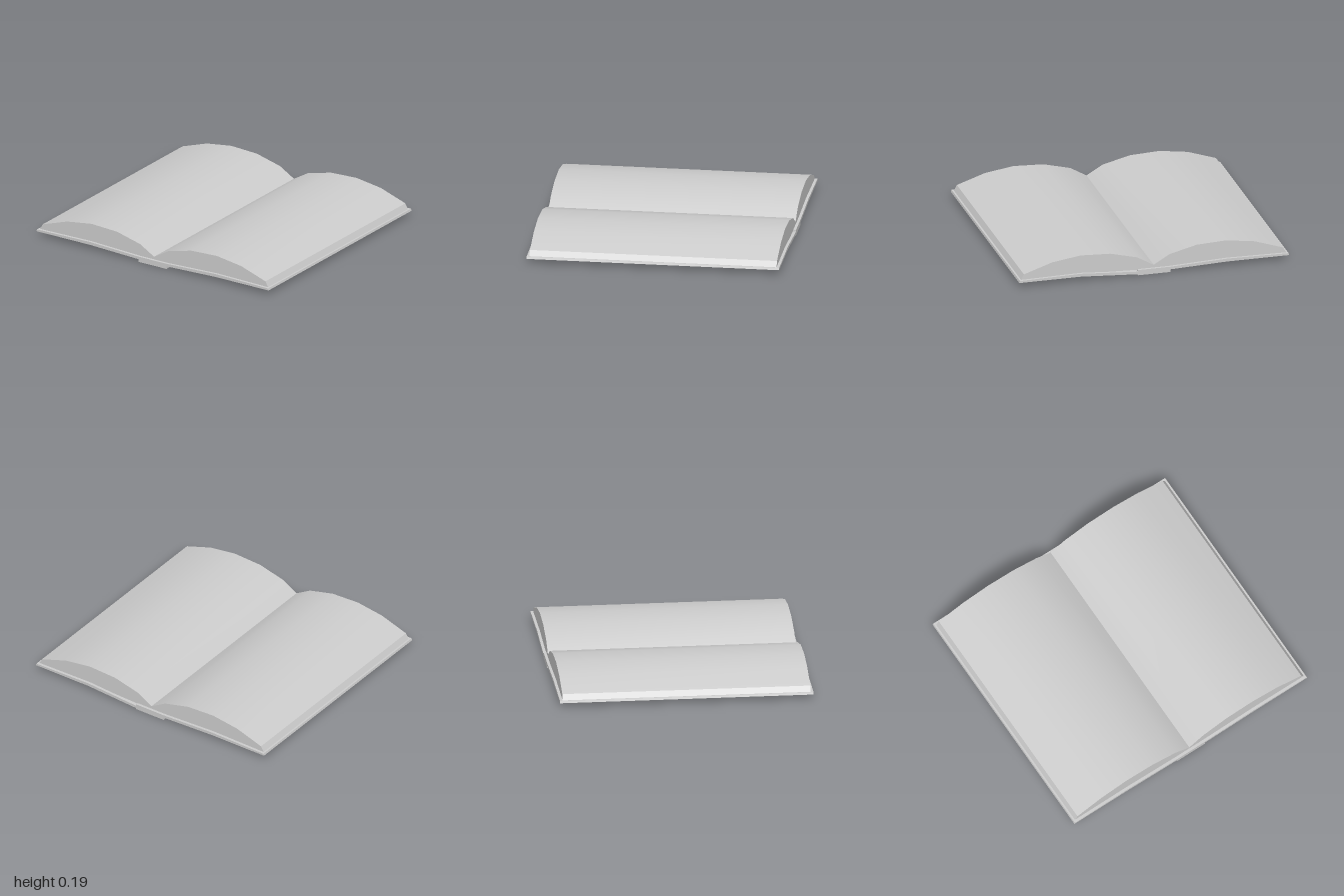
import * as THREE from 'three';
import { toCreasedNormals } from 'three/addons/utils/BufferGeometryUtils.js';

const PAGE_HALF_DEPTH = 0.89;
const COVER_HALF_DEPTH = 0.91;

// cross-sections of one half of the open book, from the gutter outwards
const pageProfile = [
  [0, 0.03], [0.12, 0.035], [0.54, 0.05], [0.985, 0.045],
  [0.96, 0.09], [0.75, 0.16], [0.54, 0.19], [0.32, 0.18], [0.12, 0.13], [0, 0.06],
];
const coverProfile = [
  [0.12, 0.02], [0.54, 0.035], [1, 0.035], [0.995, 0.05], [0.54, 0.057], [0.12, 0.04],
];

// extrude a profile along z, mirrored to the chosen side
function extrudeHalf(profile, side, halfDepth) {
  const shape = new THREE.Shape(profile.map(([x, y]) => new THREE.Vector2(x * side, y)));
  const geometry = new THREE.ExtrudeGeometry(shape, { depth: 2 * halfDepth, bevelEnabled: false });
  return geometry.translate(0, 0, -halfDepth);
}

export function createModel() {
  const book = new THREE.Group();
  book.name = 'openBook';
  const material = new THREE.MeshStandardMaterial({ color: 0xcccccc });

  function add(name, geometry) {
    const mesh = new THREE.Mesh(geometry, material);
    mesh.name = name;
    book.add(mesh);
  }

  for (const [side, label] of [[1, 'left'], [-1, 'right']]) {
    // curved block of pages
    add(label + 'Pages', toCreasedNormals(extrudeHalf(pageProfile, side, PAGE_HALF_DEPTH), 0.5));

    // hard cover; the left one sags slightly at its back inner corner
    const cover = extrudeHalf(coverProfile, side, COVER_HALF_DEPTH);
    if (side > 0) {
      const p = cover.attributes.position;
      for (let i = 0; i < p.count; i++) {
        if (p.getX(i) < 0.13 && p.getZ(i) < 0) p.setY(i, p.getY(i) - 0.012);
      }
    }
    add(label + 'Cover', toCreasedNormals(cover, 0.3));
  }

  // flat spine under the gutter
  add('spine', new THREE.BoxGeometry(0.24, 0.04, 2 * COVER_HALF_DEPTH).translate(0, 0.02, 0));

  return book;
}
